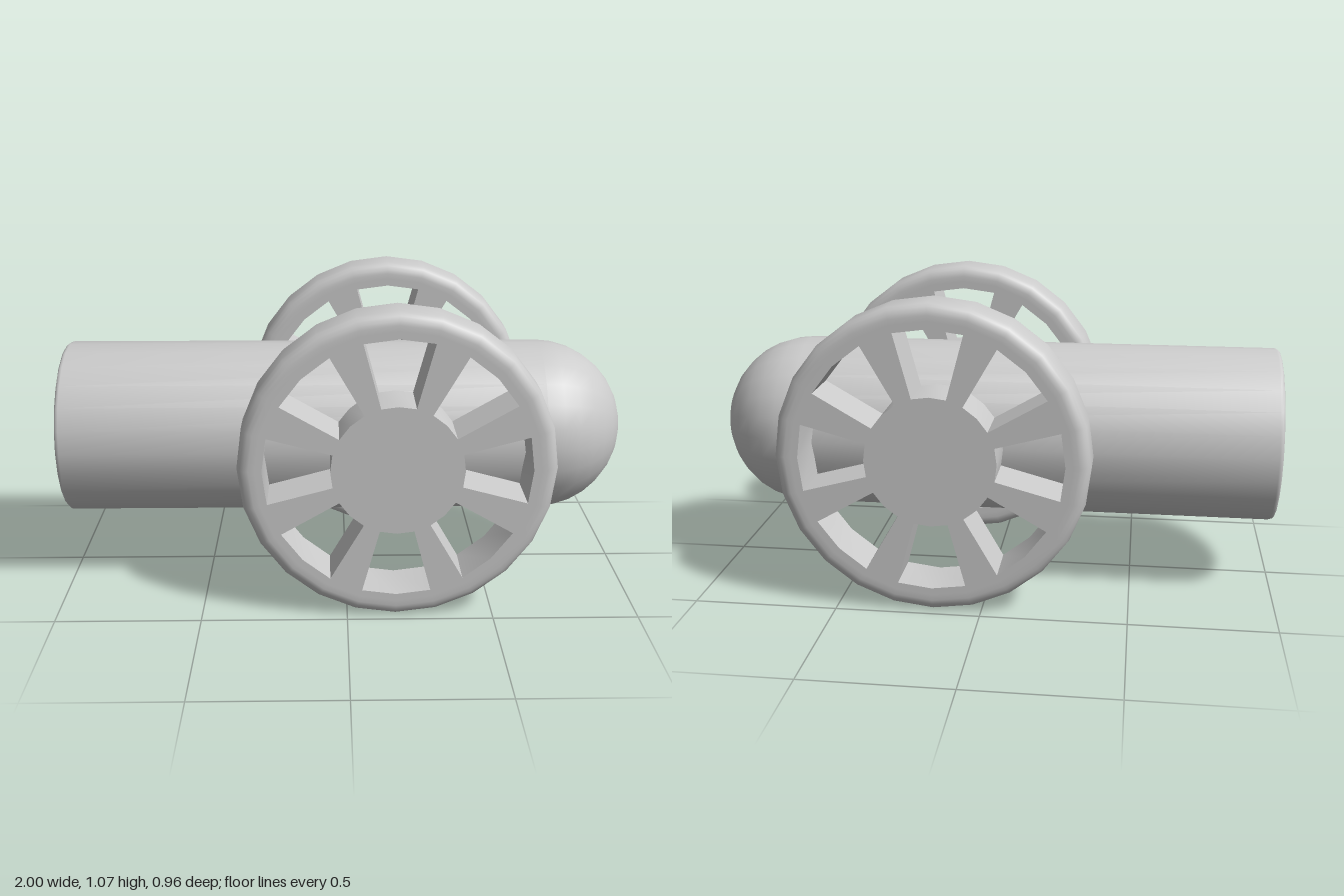
import * as THREE from 'three';
import { toCreasedNormals } from 'three/addons/utils/BufferGeometryUtils.js';

const SIDES = 24;
const AXIS_Y = 0.535;
const WHEEL_X = 0.167;
const material = new THREE.MeshStandardMaterial({ color: 0xcccccc });

const part = (name, geometry) => {
  const mesh = new THREE.Mesh(toCreasedNormals(geometry, 0.6), material);
  mesh.name = name;
  return mesh;
};

// Points of a circular arc, angles in degrees
function arc(cx, cy, r, from, to, steps) {
  return Array.from({ length: steps + 1 }, (_, i) => {
    const a = THREE.MathUtils.degToRad(from + ((to - from) * i) / steps);
    return new THREE.Vector2(cx + r * Math.cos(a), cy + r * Math.sin(a));
  });
}

// Hollow barrel: bore, rounded muzzle lip, outer wall and domed end
function createBarrel() {
  const outer = 0.307, bore = 0.255, dome = 1 - outer, lip = 0.015;
  const profile = [
    ...arc(0, dome, bore, 90, 0, 8),
    new THREE.Vector2(bore, -1),
    ...arc(outer - lip, -1 + lip, lip, -90, 0, 3),
    ...arc(0, dome, outer, 0, 90, 8),
  ];
  profile[0].x = profile[profile.length - 1].x = 0;
  const geometry = new THREE.LatheGeometry(profile, SIDES);
  geometry.rotateZ(-Math.PI / 2);
  const barrel = part('barrel', geometry);
  barrel.position.y = AXIS_Y;
  return barrel;
}

// Wheel: rounded rim around a plate with eight cut-outs between the spokes
function createWheel(name, z) {
  const radius = 0.535, width = 0.18, round = 0.04, seam = 0.475, half = width / 2;
  const wheel = new THREE.Group();
  wheel.name = name;

  const rim = new THREE.LatheGeometry([
    new THREE.Vector2(seam, -half),
    ...arc(radius - round, -half + round, round, -90, 0, 4),
    ...arc(radius - round, half - round, round, 0, 90, 4),
    new THREE.Vector2(seam, half),
  ], SIDES);
  rim.rotateX(Math.PI / 2);

  const plate = new THREE.Shape(arc(0, 0, seam, 0, 360 - 360 / SIDES, SIDES - 1));
  for (let i = 0; i < 8; i++) {
    const a = i * 45;
    plate.holes.push(new THREE.Path([
      ...arc(0, 0, 0.45, a - 15, a + 15, 2),
      ...arc(0, 0, 0.224, a + 15, a - 15, 2),
    ]));
  }
  const spokes = new THREE.ExtrudeGeometry(plate, { depth: width, bevelEnabled: false });
  spokes.translate(0, 0, -half);

  wheel.add(part('rim', rim), part('spokesAndHub', spokes));
  wheel.position.set(WHEEL_X, AXIS_Y, z);
  return wheel;
}

export function createModel() {
  const model = new THREE.Group();
  model.name = 'cannon';
  model.add(createBarrel(), createWheel('frontWheel', 0.39), createWheel('backWheel', -0.39));
  return model;
}
